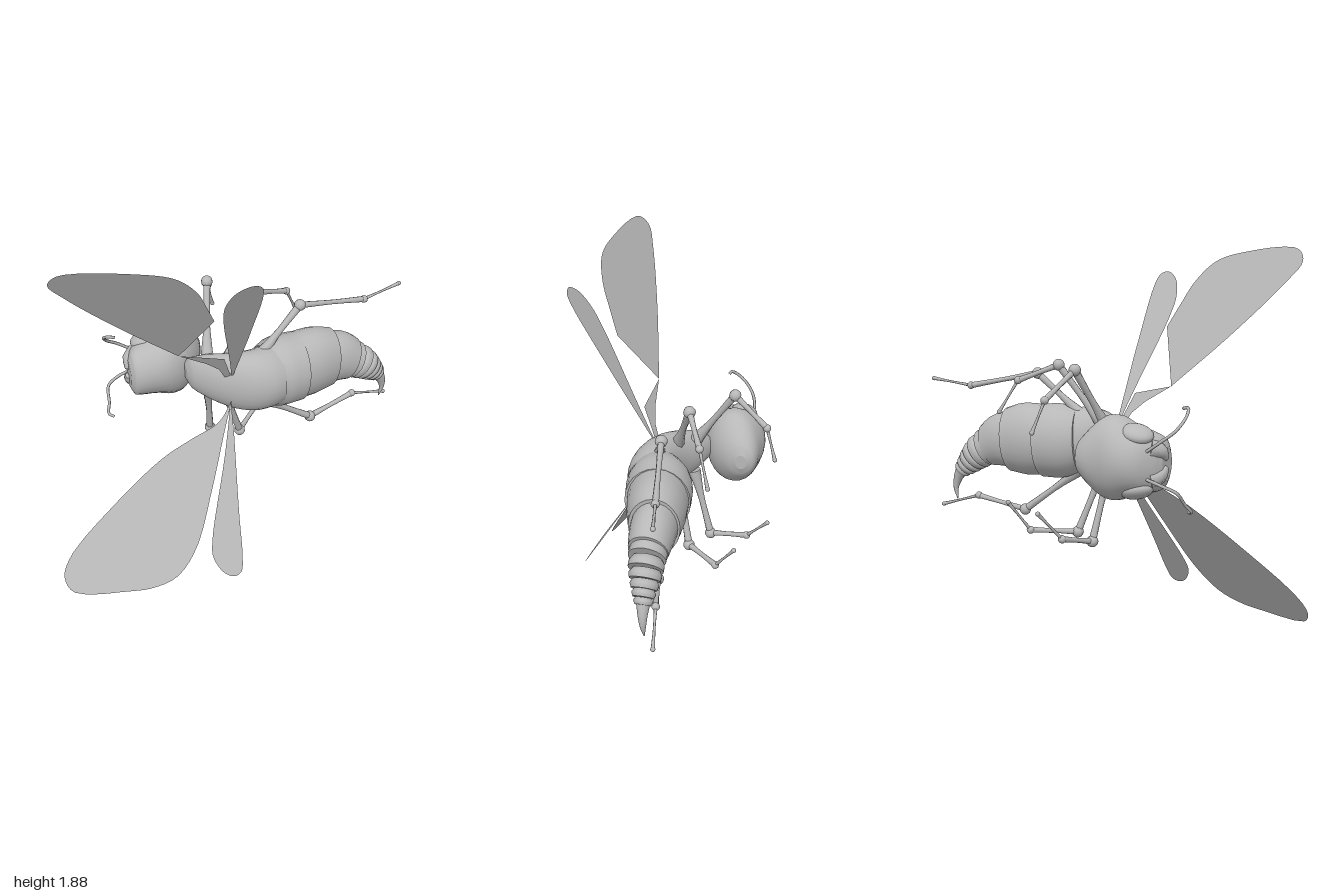
import * as THREE from 'three';

const grey = new THREE.MeshStandardMaterial({ color: 0xb8b8b8 });
grey.name = 'grey';
const greySheet = grey.clone();
greySheet.name = 'grey';
greySheet.side = THREE.DoubleSide;

const V = (x, y, z) => new THREE.Vector3(x, y, z);

// Lofts oval sections along stations [x, y, z, radiusAcross, radiusZ], capped at both ends.
// straight = true keeps every section square to the x axis.
function loft(stations, { sides = 20, steps = 3, straight = false } = {}) {
  const path = new THREE.CatmullRomCurve3(stations.map((s) => V(s[0], s[1], s[2])));
  const radii = new THREE.CatmullRomCurve3(stations.map((s) => V(s[3], s[4], 0)));
  const n = (stations.length - 1) * steps;
  const pos = [], index = [];
  const addRing = (k, scale) => {
    const c = path.getPoint(k / n), r = radii.getPoint(k / n);
    const t = straight ? V(1, 0, 0) : path.getTangent(k / n);
    const u = V(0, 0, 1).cross(t).normalize(), v = t.clone().cross(u);
    for (let j = 0; j < sides; j++) {
      const a = (j / sides) * Math.PI * 2;
      const p = c.clone()
        .addScaledVector(u, Math.cos(a) * r.x * scale)
        .addScaledVector(v, Math.sin(a) * r.y * scale);
      pos.push(p.x, p.y, p.z);
    }
  };
  const bridge = (r0, r1) => {
    for (let j = 0; j < sides; j++) {
      const k = (j + 1) % sides;
      const a = r0 * sides + j, b = r0 * sides + k, c = r1 * sides + k, d = r1 * sides + j;
      index.push(a, b, d, b, c, d);
    }
  };
  for (let k = 0; k <= n; k++) addRing(k, 1);
  for (let k = 0; k < n; k++) bridge(k, k + 1);
  addRing(0, 0); addRing(0, 1); bridge(n + 1, n + 2);
  addRing(n, 1); addRing(n, 0); bridge(n + 3, n + 4);
  const g = new THREE.BufferGeometry();
  g.setAttribute('position', new THREE.Float32BufferAttribute(pos, 3));
  g.setIndex(index);
  g.computeVertexNormals();
  return g;
}

// Flat sheet outlined in xy; depth follows z = a*x + b*y + c.
function sheet(points, [a, b, c], smooth = true) {
  let pts = points.map((p) => new THREE.Vector2(p[0], p[1]));
  if (smooth) {
    const curve = new THREE.CatmullRomCurve3(pts.map((p) => V(p.x, p.y, 0)), false, 'centripetal');
    pts = curve.getPoints(48).map((p) => new THREE.Vector2(p.x, p.y));
  }
  const g = new THREE.ShapeGeometry(new THREE.Shape(pts));
  const p = g.attributes.position;
  for (let i = 0; i < p.count; i++) p.setZ(i, a * p.getX(i) + b * p.getY(i) + c);
  g.computeVertexNormals();
  return g;
}

export function createModel() {
  const model = new THREE.Group();
  model.name = 'insect';
  const add = (name, geometry, material = grey, parent = model) => {
    const m = new THREE.Mesh(geometry, material);
    m.name = name;
    parent.add(m);
    return m;
  };

  // Head
  add('head', loft([
    [-0.475, 0.87, -0.23, 0.08, 0.05], [-0.455, 0.87, -0.235, 0.125, 0.09],
    [-0.4, 0.875, -0.265, 0.15, 0.135], [-0.33, 0.88, -0.28, 0.17, 0.155],
    [-0.25, 0.885, -0.285, 0.205, 0.155], [-0.19, 0.885, -0.29, 0.2, 0.14],
    [-0.13, 0.885, -0.31, 0.15, 0.115], [-0.08, 0.885, -0.335, 0.09, 0.075],
    [-0.06, 0.885, -0.345, 0.04, 0.03],
  ], { sides: 24, straight: true }));

  // Eyes and jaws on both sides of the head
  for (const side of [1, -1]) {
    const eye = add('eye', new THREE.SphereGeometry(1, 20, 12));
    eye.scale.set(0.082, 0.04, 0.07);
    eye.position.set(-0.36, 0.878 + side * 0.135, -0.315);
    eye.rotation.set(side * -0.25, 0, side * 0.25);
    add('jaw', loft([
      [-0.42, 0.875 + side * 0.07, -0.3, 0.05, 0.05],
      [-0.46, 0.875 + side * 0.06, -0.27, 0.035, 0.04],
      [-0.48, 0.875 + side * 0.02, -0.24, 0.012, 0.015],
    ], { sides: 10 }));
  }

  // Antennae
  const antennae = [
    [[-0.43, 0.94, -0.35], [-0.5, 0.99, -0.35], [-0.56, 1.04, -0.32], [-0.585, 1.1, -0.26], [-0.57, 1.135, -0.21], [-0.54, 1.13, -0.2]],
    [[-0.43, 0.81, -0.35], [-0.51, 0.785, -0.345], [-0.57, 0.755, -0.32], [-0.585, 0.69, -0.26], [-0.6, 0.65, -0.22], [-0.575, 0.64, -0.2]],
  ];
  for (const p of antennae) {
    const curve = new THREE.CatmullRomCurve3(p.map((q) => V(...q)));
    add('antenna', new THREE.TubeGeometry(curve, 24, 0.008, 6));
  }

  // Thorax
  add('thorax', loft([
    [-0.2, 0.885, -0.14, 0.04, 0.04], [-0.18, 0.885, -0.115, 0.085, 0.065],
    [-0.1, 0.888, -0.045, 0.13, 0.095], [0, 0.888, 0.025, 0.16, 0.105],
    [0.1, 0.888, 0.055, 0.172, 0.122], [0.18, 0.888, 0.045, 0.17, 0.142],
    [0.24, 0.885, 0.02, 0.165, 0.155],
  ], { sides: 24, straight: true }));

  // Abdomen plates
  const plates = [
    [[0.17, 0.885, 0.035, 0.168, 0.14], [0.26, 0.88, 0.008, 0.196, 0.165], [0.36, 0.876, -0.005, 0.193, 0.16]],
    [[0.33, 0.878, -0.003, 0.185, 0.152], [0.45, 0.878, -0.02, 0.192, 0.143], [0.56, 0.868, -0.034, 0.17, 0.122]],
    [[0.52, 0.872, -0.035, 0.152, 0.11], [0.6, 0.862, -0.035, 0.148, 0.108], [0.69, 0.828, -0.035, 0.118, 0.095]],
  ];
  for (const p of plates) add('abdomenPlate', loft(p, { sides: 24 }));

  // Overlapping tail rings
  const tail = [[0.65, 0.845, 0.108], [0.72, 0.81, 0.102], [0.762, 0.78, 0.094], [0.797, 0.748, 0.082],
    [0.828, 0.718, 0.068], [0.855, 0.692, 0.055], [0.878, 0.668, 0.042]];
  for (let i = 0; i < tail.length - 1; i++) {
    const [x0, y0, r0] = tail[i], [x1, y1, r1] = tail[i + 1];
    const z = -0.037 - i * 0.003;
    add('tailRing', loft([
      [x0, y0, z, r0 * 0.78, r0 * 0.68],
      [(x0 + x1) / 2, (y0 + y1) / 2, z, r0 * 0.93, r0 * 0.82],
      [x1, y1, z, r1, r1 * 0.88],
    ]));
  }
  add('sting', loft([[0.865, 0.685, -0.053, 0.04, 0.035], [0.898, 0.63, -0.056, 0.026, 0.024],
    [0.912, 0.57, -0.06, 0.014, 0.014], [0.9, 0.51, -0.062, 0.003, 0.003]], { sides: 12 }));

  // Wings: the upper fore wing is a blade and a separate root piece
  const upperPlane = [0.25, 0.544, -0.432], lowerPlane = [0.27, -0.62, 0.615];
  add('upperForeWing', sheet([[-0.19, 1.47], [-0.24, 1.58], [-0.3, 1.7], [-0.4, 1.8], [-0.55, 1.845],
    [-0.87, 1.86], [-0.91, 1.8], [-0.84, 1.7], [-0.6, 1.45], [-0.31, 1.185]], upperPlane), greySheet);
  add('upperForeWingRoot', sheet([[-0.31, 1.185], [-0.09, 1.135], [-0.02, 0.94], [-0.05, 0.945],
    [-0.1, 1.04], [-0.17, 1.1]], upperPlane, false), greySheet);
  add('lowerForeWing', sheet([[-0.03, 0.82], [-0.11, 0.73], [-0.26, 0.66], [-0.42, 0.58], [-0.69, 0.39],
    [-0.955, 0.165], [-1, 0.075], [-0.97, 0.012], [-0.7, 0.001], [-0.58, 0.01], [-0.45, 0.055],
    [-0.33, 0.18], [-0.205, 0.43], [-0.09, 0.69]], lowerPlane), greySheet);
  add('upperHindWing', sheet([[-0.02, 0.94], [-0.07, 1.14], [-0.17, 1.515], [-0.18, 1.62], [-0.15, 1.71],
    [-0.09, 1.75], [-0.045, 1.735], [-0.025, 1.68], [-0.015, 1.33]], [0.1, 0.57, -0.46]), greySheet);
  add('lowerHindWing', sheet([[-0.03, 0.82], [-0.11, 0.58], [-0.25, 0.215], [-0.26, 0.14], [-0.22, 0.065],
    [-0.17, 0.04], [-0.13, 0.055], [-0.11, 0.125], [-0.09, 0.31], [-0.045, 0.66]], [0.1, -0.6, 0.582]), greySheet);

  // Legs: hip, knee, ankle, foot
  const legs = {
    upperFrontLeg: [[-0.09, 0.98, -0.11], [-0.02, 1.29, -0.31], [0.04, 1.16, -0.48], [0.08, 1.01, -0.53]],
    lowerFrontLeg: [[-0.09, 0.79, -0.1], [-0.05, 0.43, -0.2], [0, 0.48, -0.4], [0.065, 0.62, -0.51]],
    upperMiddleLeg: [[0, 1, -0.03], [0.19, 1.29, -0.125], [0.38, 1.21, -0.21], [0.46, 1.05, -0.265]],
    lowerMiddleLeg: [[-0.02, 0.78, -0.03], [0.09, 0.44, -0.11], [0.265, 0.465, -0.28], [0.33, 0.62, -0.38]],
    upperHindLeg: [[0.15, 1.02, 0.03], [0.38, 1.23, -0.03], [0.77, 1.15, -0.09], [0.99, 1.18, -0.13]],
    lowerHindLeg: [[0.15, 0.74, 0.03], [0.47, 0.495, -0.03], [0.74, 0.55, -0.08], [0.955, 0.485, -0.115]],
  };
  const names = ['thigh', 'shin', 'foot'];
  const thick = [[0.034, 0.016, 0.02], [0.017, 0.012, 0.016], [0.009, 0.006, 0.01]];
  for (const [name, joints] of Object.entries(legs)) {
    const leg = new THREE.Group();
    leg.name = name;
    model.add(leg);
    const p = joints.map((q) => V(...q));
    for (let i = 0; i < 3; i++) {
      const stations = thick[i].map((r, k) => [...p[i].clone().lerp(p[i + 1], k / 2).toArray(), r, r]);
      add(names[i], loft(stations, { sides: 8 }), grey, leg);
      const joint = add('joint', new THREE.SphereGeometry([0.03, 0.02, 0.012][i], 10, 8), grey, leg);
      joint.position.copy(p[i + 1]);
    }
  }
  return model;
}
